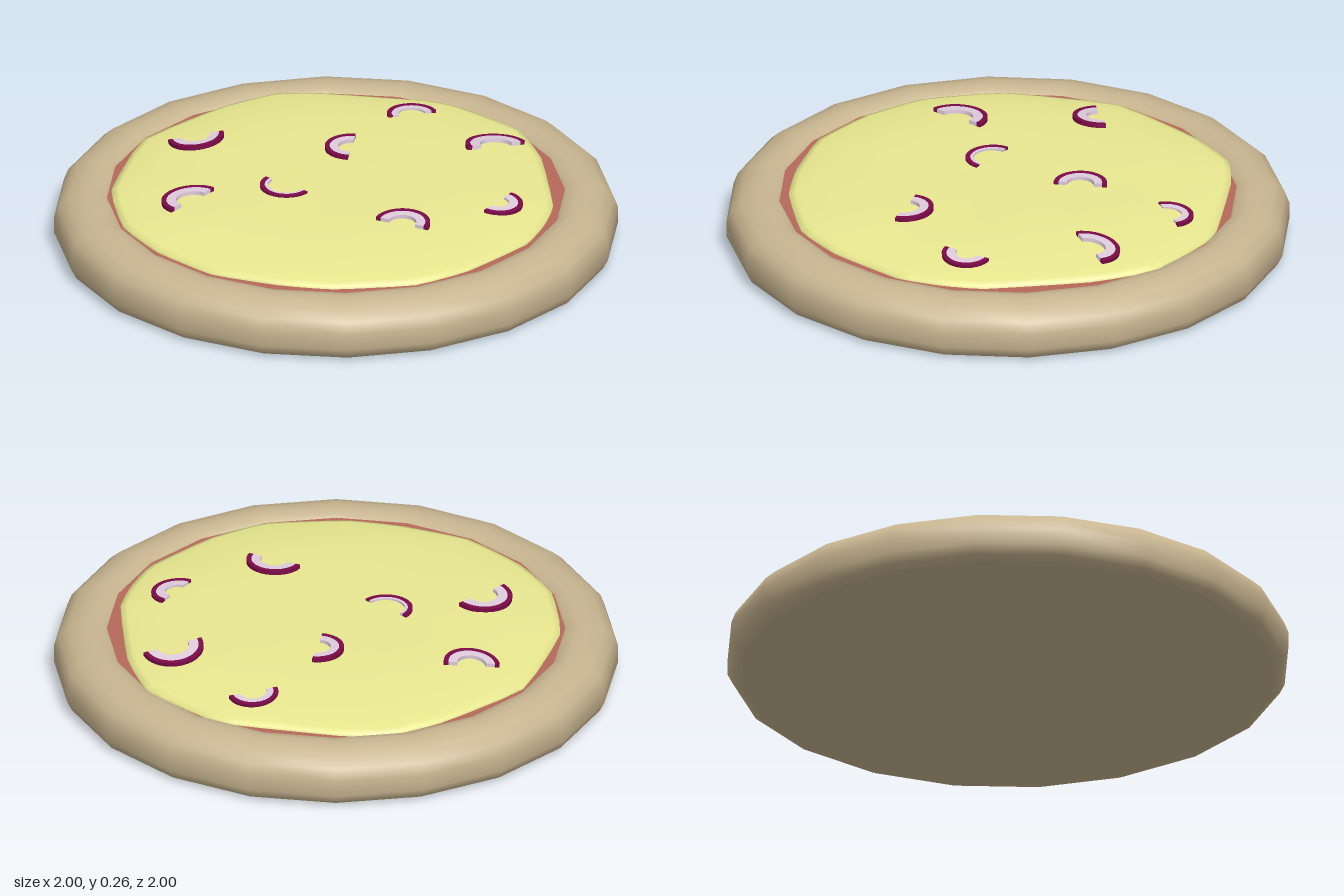
import * as THREE from 'three';

const SIDES = 20;
const mat = (color, extra = {}) => new THREE.MeshStandardMaterial({ color, ...extra });

function addMesh(parent, name, geometry, material) {
  const mesh = new THREE.Mesh(geometry, material);
  mesh.name = name;
  parent.add(mesh);
  return mesh;
}

// Cheese sheet: rings scaled from an irregular outline, domed towards the middle
function cheeseGeometry() {
  const outline = new THREE.CatmullRomCurve3([
    [0, 0.77], [0.2, 0.75], [0.47, 0.64], [0.62, 0.48], [0.76, 0.22], [0.78, 0.06],
    [0.77, -0.1], [0.63, -0.45], [0.49, -0.65], [0.24, -0.77], [0.12, -0.79], [-0.26, -0.75],
    [-0.42, -0.7], [-0.57, -0.55], [-0.77, -0.22], [-0.77, 0.2], [-0.65, 0.47], [-0.48, 0.63],
    [-0.25, 0.75],
  ].map(([x, z]) => new THREE.Vector3(x, 0, z)), true, 'catmullrom', 0.2).getPoints(57).slice(0, 57);
  const rings = [[1, 0.172], [1, 0.192], [0.97, 0.2], [0.9, 0.209], [0.8, 0.219],
    [0.65, 0.229], [0.45, 0.234], [0.22, 0.236]];
  const n = outline.length, positions = [], index = [];
  for (const [s, y] of rings) {
    for (const p of outline) {
      const ripple = s < 0.95 ? 0.002 * Math.sin(9 * p.x * s + 2) * Math.cos(8 * p.z * s) : 0;
      positions.push(p.x * s, y + ripple, p.z * s);
    }
  }
  positions.push(0, 0.236, 0);
  for (let r = 0; r < rings.length; r++) {
    for (let i = 0; i < n; i++) {
      const a = r * n + i, b = r * n + (i + 1) % n;
      if (r === rings.length - 1) index.push(a, b, rings.length * n);
      else index.push(a, b, b + n, a, b + n, a + n);
    }
  }
  const geometry = new THREE.BufferGeometry();
  geometry.setAttribute('position', new THREE.Float32BufferAttribute(positions, 3));
  geometry.setIndex(index);
  geometry.computeVertexNormals();
  return geometry;
}

// Flat half ring lying in the xz plane
function arcGeometry(inner, outer, height) {
  const shape = new THREE.Shape();
  shape.absarc(0, 0, outer, -Math.PI / 2, Math.PI / 2, false);
  shape.absarc(0, 0, inner, Math.PI / 2, -Math.PI / 2, true);
  return new THREE.ExtrudeGeometry(shape, { depth: height, bevelEnabled: false, curveSegments: 10 })
    .rotateX(-Math.PI / 2);
}

export function createModel() {
  const pizza = new THREE.Group();
  pizza.name = 'pizza';
  const dough = mat(0xc8b590);

  // Crust with a rounded rim, and its flat underside
  const profile = [[0.955, 0], [0.982, 0.015], [1, 0.05], [1, 0.11], [0.985, 0.15], [0.95, 0.182],
    [0.9, 0.198], [0.86, 0.2], [0.825, 0.192], [0.8, 0.172], [0.79, 0.15]];
  addMesh(pizza, 'crust', new THREE.LatheGeometry(
    profile.map(([x, y]) => new THREE.Vector2(x, y)), SIDES), dough);
  const base = addMesh(pizza, 'base',
    new THREE.CircleGeometry(0.955, SIDES, Math.PI / 2), dough);
  base.rotation.x = Math.PI / 2;

  // Sauce disc showing around the cheese
  const sauce = addMesh(pizza, 'sauce',
    new THREE.CircleGeometry(0.815, SIDES, Math.PI / 2), mat(0xb5695a));
  sauce.rotation.x = -Math.PI / 2;
  sauce.position.y = 0.182;

  addMesh(pizza, 'cheese', cheeseGeometry(), mat(0xe8e890, { side: THREE.DoubleSide }));

  // Onion slices: x, z, height, radius, facing angle, flesh width, tilt about x, tilt about z
  const skin = mat(0x7a0a48), flesh = mat(0xdfcbdc);
  const slices = [
    [0.11, -0.61, 0.213, 0.09, 126, 0.025, -0.06, 0],
    [0.475, -0.41, 0.234, 0.11, 129, 0.035, -0.14, 0],
    [-0.015, -0.26, 0.234, 0.095, 187, 0.03, 0, 0],
    [-0.57, -0.2, 0.23, 0.1, 294, 0.032, 0, 0.12],
    [0.595, 0.005, 0.218, 0.09, -17, 0.032, 0, -0.08],
    [-0.155, 0.095, 0.23, 0.095, 247, 0.012, 0.02, 0],
    [-0.445, 0.295, 0.23, 0.11, 152, 0.035, 0, 0.08],
    [0.325, 0.295, 0.238, 0.1, 82, 0.032, 0.04, 0],
  ];
  for (const [x, z, y, radius, facing, width, tiltX, tiltZ] of slices) {
    const slice = new THREE.Group();
    slice.name = 'onionSlice';
    const rim = radius - 0.017;
    const arc = new THREE.Group();
    arc.name = 'onionArc';
    arc.rotation.y = THREE.MathUtils.degToRad(facing);
    addMesh(arc, 'onionSkin', arcGeometry(rim, radius, 0.015), skin);
    addMesh(arc, 'onionFlesh', arcGeometry(rim - width, rim, 0.014), flesh);
    slice.add(arc);
    slice.position.set(x, y, z);
    slice.rotation.set(tiltX, 0, tiltZ);
    pizza.add(slice);
  }
  return pizza;
}
